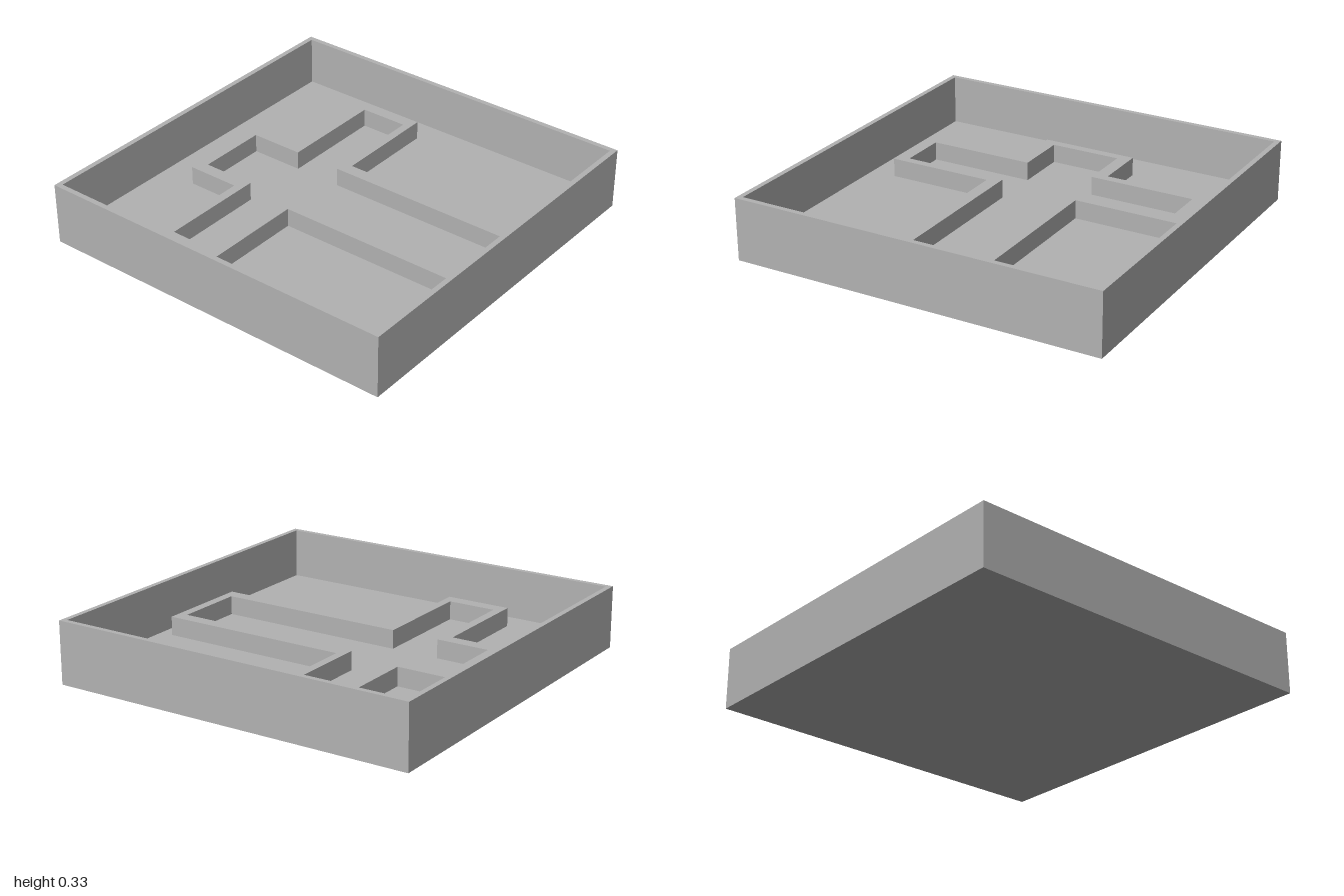
import * as THREE from 'three';

const HEIGHT = 0.333;
const FLOOR = 0.067;
const CROSS_TOP = 0.167;

// Rectangle outline as plan points (x, z)
function square(half) {
  return [[-half, half], [half, half], [half, -half], [-half, -half]];
}

// Latin cross outline as plan points (x, z), mirrored about x = 0
function cross(stem, arm, top, armBack, armFront, bottom) {
  const half = [[stem, bottom], [stem, armFront], [arm, armFront], [arm, armBack], [stem, armBack], [stem, top]];
  return [...half, ...half.map(([x, z]) => [-x, z]).reverse()];
}

// Upright rim between an outer and an inner plan outline
function rim(outer, inner, y0, y1) {
  const toPoints = (list) => list.map(([x, z]) => new THREE.Vector2(x, -z));
  const shape = new THREE.Shape(toPoints(outer));
  shape.holes.push(new THREE.Path(toPoints(inner)));
  const geometry = new THREE.ExtrudeGeometry(shape, { depth: y1 - y0, bevelEnabled: false });
  return geometry.rotateX(-Math.PI / 2).translate(0, y0, 0);
}

export function createModel() {
  const group = new THREE.Group();
  group.name = 'crossTray';
  const grey = new THREE.MeshStandardMaterial({ color: 0xb2b2b2 });
  grey.name = 'grey';

  const add = (name, geometry) => {
    const mesh = new THREE.Mesh(geometry, grey);
    mesh.name = name;
    group.add(mesh);
  };

  // Solid base plate
  add('floor', new THREE.BoxGeometry(2, FLOOR, 2).translate(0, FLOOR / 2, 0));

  // Thin outer walls
  add('outerWall', rim(square(1), square(0.972), FLOOR, HEIGHT));

  // Low raised outline of the cross
  add('crossRidge', rim(
    cross(0.26, 0.832, -0.77, -0.481, -0.128, 0.9),
    cross(0.191, 0.763, -0.722, -0.433, -0.172, 0.852),
    FLOOR, CROSS_TOP));

  return group;
}
